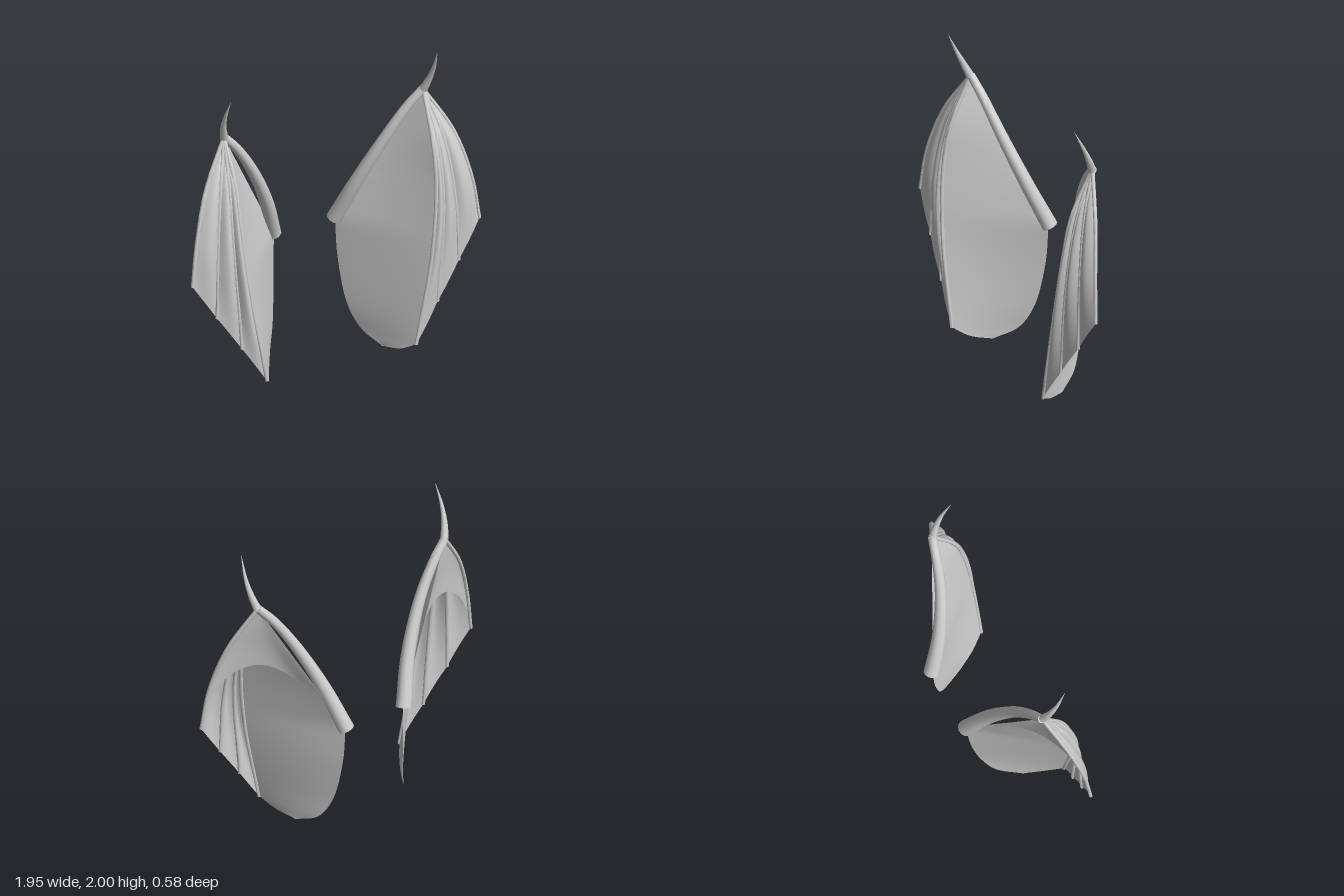
import * as THREE from 'three';
import { toCreasedNormals } from 'three/addons/utils/BufferGeometryUtils.js';

const grey = new THREE.MeshStandardMaterial({ color: 0xcccccc, side: THREE.DoubleSide });
grey.name = 'wing grey';

// Capped tube whose radius runs from r0 to r1
function taperedTube(name, curve, r0, r1, sides = 10, rings = 28) {
  const geo = new THREE.TubeGeometry(curve, rings, 1, sides, false);
  const pos = geo.attributes.position;
  const v = new THREE.Vector3();
  for (let i = 0; i <= rings; i++) {
    const old = curve.getPointAt(i / rings);
    // the first and last two rings share a centre, so the outermost closes the end
    const t = i <= 1 ? 0 : i >= rings - 1 ? 1 : i / rings;
    const r = i === 0 || i === rings ? 0 : r0 + (r1 - r0) * t;
    const centre = curve.getPointAt(t);
    for (let j = 0; j <= sides; j++) {
      const k = i * (sides + 1) + j;
      v.fromBufferAttribute(pos, k).sub(old).multiplyScalar(r).add(centre);
      pos.setXYZ(k, v.x, v.y, v.z);
    }
  }
  const mesh = new THREE.Mesh(toCreasedNormals(geo, 0.9), grey);
  mesh.name = name;
  return mesh;
}

// Skin fanned from the wrist between curves a and b, ending at the edge curve
function web(name, a, b, edge, bulge = 0, across = 18, along = 28) {
  const wrist = a(0), tipA = a(1), tipB = b(1);
  const points = [], index = [];
  for (let i = 0; i <= along; i++) {
    const t = i / along;
    const offA = a(t).sub(wrist.clone().lerp(tipA, t));
    const offB = b(t).sub(wrist.clone().lerp(tipB, t));
    for (let j = 0; j <= across; j++) {
      const s = j / across;
      const p = wrist.clone().lerp(edge(s), t).addScaledVector(offA, 1 - s).addScaledVector(offB, s);
      // the skin swells at mid length and flattens toward the trailing edge
      p.z += bulge * Math.sin(Math.PI * s) * Math.sin(Math.PI * 0.94 * t ** 1.2);
      points.push(p);
      if (i < along && j < across) {
        const k = i * (across + 1) + j, n = k + across + 1;
        index.push(k, n, k + 1, k + 1, n, n + 1);
      }
    }
  }
  const geo = new THREE.BufferGeometry().setFromPoints(points);
  geo.setIndex(index);
  geo.computeVertexNormals();
  const mesh = new THREE.Mesh(geo, grey);
  mesh.name = name;
  return mesh;
}

// Joins descending curves and returns their point at a share t of the total drop
function byHeight(...curves) {
  const chain = new THREE.CurvePath();
  curves.forEach(c => chain.add(c));
  const top = chain.getPoint(0).y, bottom = chain.getPoint(1).y;
  return t => {
    const y = top + (bottom - top) * Math.sin(t * Math.PI / 2);
    let lo = 0, hi = 1;
    for (let i = 0; i < 30; i++) {
      const mid = (lo + hi) / 2;
      if (chain.getPoint(mid).y > y) lo = mid; else hi = mid;
    }
    return chain.getPoint(hi);
  };
}

function createWing(side) {
  const wing = new THREE.Group();
  wing.name = side > 0 ? 'leftWing' : 'rightWing';
  const path = (...pts) => new THREE.CatmullRomCurve3(
    pts.map(([x, y, z]) => new THREE.Vector3(x * side, y, z)));
  const along = (curve, end = 1) => t => curve.getPointAt(t * end);
  const wrist = [0.667, 1.685, 0.02];

  // Arm bone and wrist claw
  wing.add(taperedTube('arm', path([0.205, 0.78, -0.245], [0.3, 1.06, -0.14],
    [0.44, 1.36, -0.05], [0.57, 1.57, -0.005], wrist), 0.05, 0.026, 12));
  wing.add(taperedTube('claw', path([0.668, 1.685, 0.025], [0.69, 1.77, 0.06],
    [0.7, 1.87, 0.105], [0.692, 2, 0.165]), 0.026, 0.001, 10));

  // Finger bones, outermost first
  const fingers = [
    path(wrist, [0.83, 1.4, 0.105], [0.92, 1.1, 0.165], [0.962, 0.81, 0.19]),
    path(wrist, [0.745, 1.4, 0.13], [0.795, 1.0, 0.195], [0.81, 0.57, 0.215]),
    path(wrist, [0.695, 1.4, 0.15], [0.702, 1.0, 0.225], [0.655, 0.335, 0.24]),
    path(wrist, [0.66, 1.4, 0.165], [0.655, 1.12, 0.225], [0.605, 0.66, 0.262], [0.5, 0.09, 0.265]),
  ];
  fingers.forEach((f, i) => wing.add(taperedTube('finger' + (i + 1), f, 0.013, 0.011, 8)));

  // Pleated skin between neighbouring fingers
  for (let i = 0; i < 3; i++) {
    const a = along(fingers[i]), b = along(fingers[i + 1]);
    wing.add(web('fingerWeb' + (i + 1), a, b, s => a(1).lerp(b(1), s), 0.034));
  }

  // Broad skin from the innermost finger to the taut line behind the arm
  const inner = path(wrist, [0.48, 1.32, -0.085], [0.315, 1.0, -0.175], [0.205, 0.78, -0.235]);
  const hemFront = path([0.5, 0.09, 0.265], [0.44, 0.03, 0.17], [0.38, 0.003, 0.05]);
  const hemBack = path([0.205, 0.78, -0.235], [0.215, 0.52, -0.22], [0.25, 0.22, -0.16],
    [0.305, 0.075, -0.085], [0.38, 0.003, 0.05]);
  const front = byHeight(fingers[3], hemFront);
  wing.add(web('mainWeb', front, byHeight(inner, hemBack), () => front(1), -0.01, 24, 48));

  // Rear skin from the outermost finger to the same line, with an arched edge
  const reach = 0.84;
  const end = inner.getPointAt(reach);
  const arch = path([0.962, 0.81, 0.19], [0.89, 1.05, 0.17], [0.76, 1.2, 0.12],
    [0.62, 1.235, 0.05], [0.49, 1.165, -0.025], [end.x * side, end.y, end.z]);
  wing.add(web('rearWeb', along(fingers[0]), along(inner, reach), along(arch), 0, 28));
  return wing;
}

export function createModel() {
  const model = new THREE.Group();
  model.name = 'wings';
  model.add(createWing(1), createWing(-1));
  return model;
}
